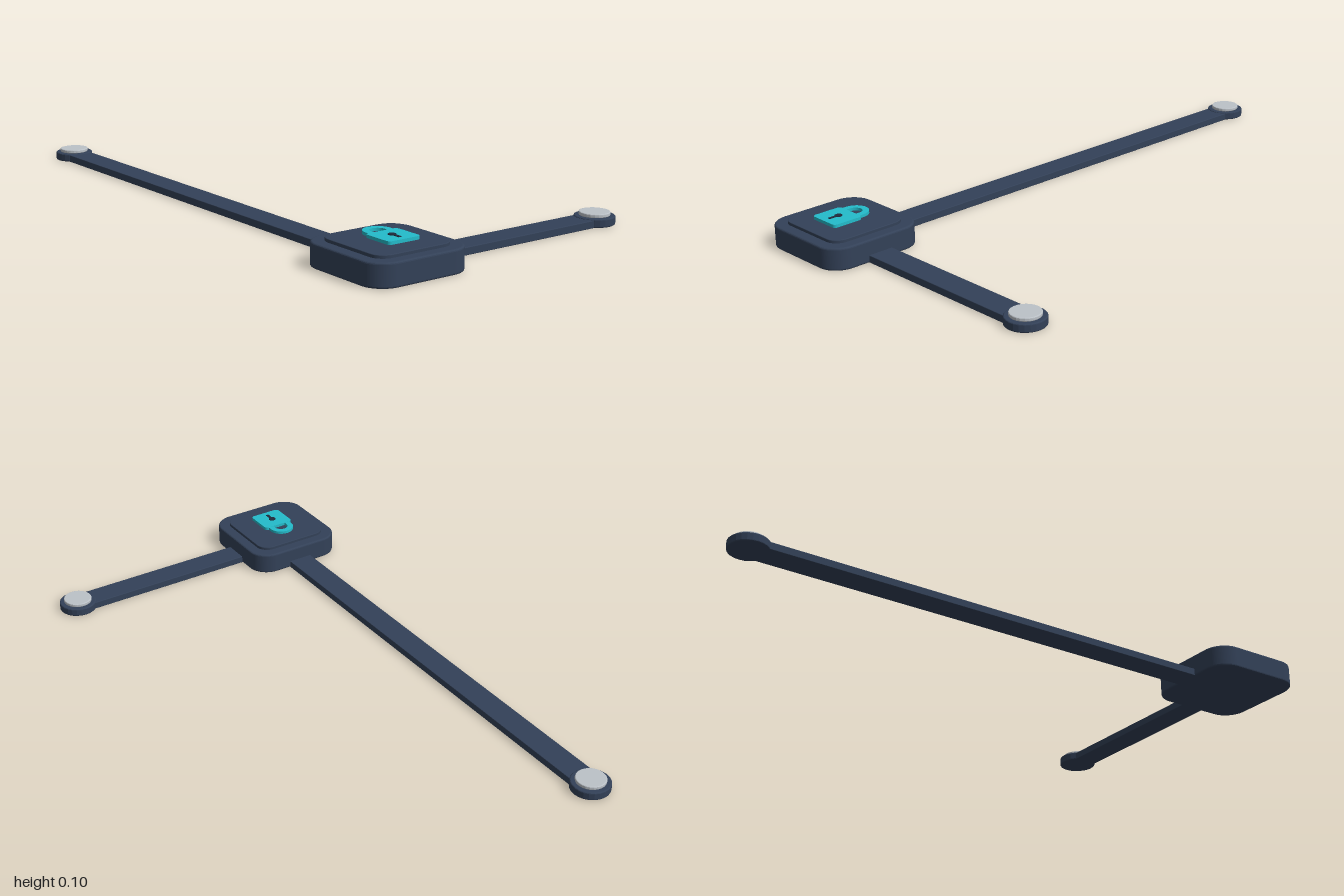
import * as THREE from 'three';

const navy = new THREE.MeshStandardMaterial({ color: 0x334158 });
navy.name = 'navy';
const teal = new THREE.MeshStandardMaterial({ color: 0x24bccb });
teal.name = 'teal';
const silver = new THREE.MeshStandardMaterial({ color: 0xbcc2c8 });
silver.name = 'silver';
const dark = new THREE.MeshStandardMaterial({ color: 0x1e293b });
dark.name = 'dark navy';

const HUB_X = -0.354, HUB_Z = 0.828;

function add(parent, name, geometry, material, x = 0, y = 0, z = 0) {
  const mesh = new THREE.Mesh(geometry, material);
  mesh.name = name;
  mesh.position.set(x, y, z);
  parent.add(mesh);
  return mesh;
}

function roundedRect(w, d, r) {
  const s = new THREE.Shape(), x = w / 2, y = d / 2;
  s.moveTo(-x + r, -y);
  s.lineTo(x - r, -y).absarc(x - r, -y + r, r, -Math.PI / 2, 0);
  s.lineTo(x, y - r).absarc(x - r, y - r, r, 0, Math.PI / 2);
  s.lineTo(-x + r, y).absarc(-x + r, y - r, r, Math.PI / 2, Math.PI);
  s.lineTo(-x, -y + r).absarc(-x + r, -y + r, r, Math.PI, Math.PI * 1.5);
  return s;
}

// Flat slab lying on y = 0; shape y points to -z
function slab(shape, height, bevel = 0) {
  const g = new THREE.ExtrudeGeometry(shape, {
    depth: height - 2 * bevel, bevelEnabled: bevel > 0, bevelThickness: bevel,
    bevelSize: bevel, bevelOffset: -bevel, bevelSegments: 3, curveSegments: 12,
  });
  g.translate(0, 0, bevel);
  return g.rotateX(-Math.PI / 2);
}

// Round disc with a softened rim
function disc(r, h, b) {
  const pts = [[0, 0], [r - b, 0], [r - b * 0.3, b * 0.3], [r, b],
    [r, h - b], [r - b * 0.3, h - b * 0.3], [r - b, h], [0, h]];
  const path = new THREE.Shape();
  path.absarc(0, 0, r, 0, Math.PI * 2);
  return pts.length && slab(path, h, b);
}

// Flat strap from the hub, ending in a round pad with a metal contact
function arm(name, length, angle, x, z) {
  const g = new THREE.Group();
  g.name = name;
  g.position.set(x, 0, z);
  g.rotation.y = angle;
  add(g, 'strap', slab(roundedRect(length, 0.086, 0.006), 0.024, 0.002), navy, length / 2);
  add(g, 'endPad', disc(0.063, 0.027, 0.004), navy, length);
  add(g, 'contact', disc(0.048, 0.012, 0.003), silver, length, 0.0265);
  return g;
}

function padlock() {
  const g = new THREE.Group();
  g.name = 'padlockSymbol';
  g.position.set(HUB_X, 0.088, HUB_Z);
  add(g, 'lockBody', slab(roundedRect(0.112, 0.104, 0.012), 0.01), teal, 0, 0, 0.025);

  // Shackle: flat arch with two legs reaching into the body
  const arch = new THREE.Shape();
  arch.moveTo(0.044, -0.02);
  arch.lineTo(0.044, 0.04).absarc(0, 0.04, 0.044, 0, Math.PI);
  arch.lineTo(-0.044, -0.02).lineTo(-0.024, -0.02);
  arch.lineTo(-0.024, 0.04).absarc(0, 0.04, 0.024, Math.PI, 0, true);
  arch.lineTo(0.024, -0.02);
  add(g, 'shackle', slab(arch, 0.0095), teal);

  // Keyhole: round top and narrow slot
  add(g, 'keyholeRound', new THREE.CylinderGeometry(0.012, 0.012, 0.003, 24), dark, 0, 0.0105, 0.021);
  add(g, 'keyholeSlot', new THREE.BoxGeometry(0.01, 0.0025, 0.028), dark, 0, 0.0105, 0.042);
  return g;
}

export function createModel() {
  const model = new THREE.Group();
  model.name = 'lockSensor';

  // Hub housing and raised lid
  add(model, 'hub', slab(roundedRect(0.342, 0.342, 0.072), 0.072, 0.006), navy, HUB_X, 0, HUB_Z);
  add(model, 'lid', slab(roundedRect(0.268, 0.268, 0.044), 0.012, 0.002), navy, HUB_X, 0.07, HUB_Z);
  model.add(padlock());

  // Long arm to the back, short arm to the side
  model.add(arm('longArm', 1.617, Math.PI / 2, HUB_X, 0.68));
  model.add(arm('shortArm', 0.657, 0, -0.2, 0.825));
  return model;
}
